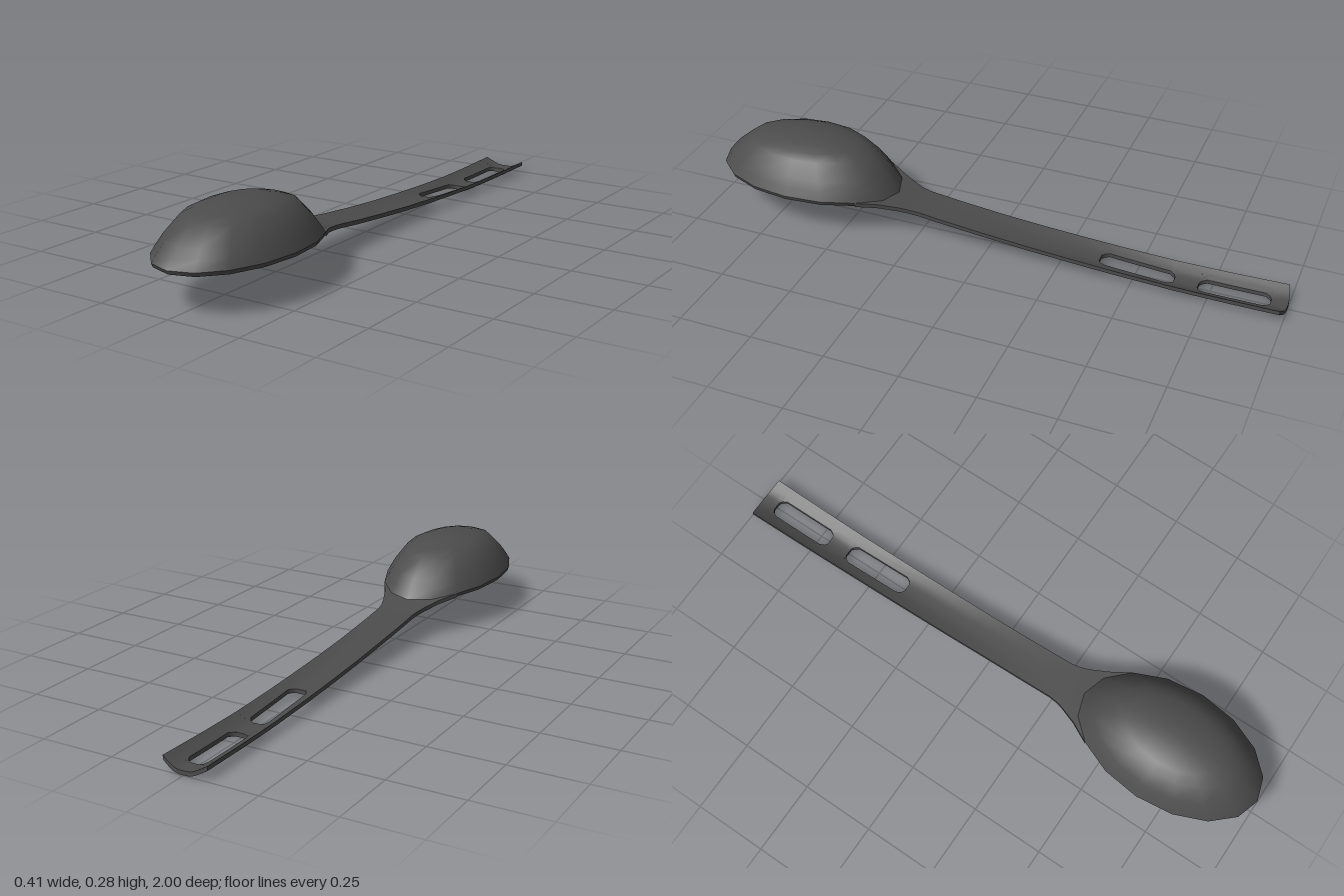
import * as THREE from 'three';
import { toCreasedNormals } from 'three/addons/utils/BufferGeometryUtils.js';

// linear lookup in a short [position, value] table
function lookup(table, t) {
  if (t <= table[0][0]) return table[0][1];
  for (let i = 1; i < table.length; i++) {
    const [a, va] = table[i - 1], [b, vb] = table[i];
    if (t <= b) return va + (vb - va) * (t - a) / (b - a);
  }
  return table[table.length - 1][1];
}

function pushQuad(out, a, b, c, d) {
  out.push(...a, ...b, ...c, ...a, ...c, ...d);
}

function toGeometry(positions, crease) {
  const g = new THREE.BufferGeometry();
  g.setAttribute('position', new THREE.Float32BufferAttribute(positions, 3));
  return toCreasedNormals(g, crease);
}

// bowl ellipse seen from above
const CZ = 0.67, RX = 0.204, RZ = 0.327, SEG = 16;
const ringPoint = (k) => {
  const a = k / SEG * Math.PI * 2;
  return [Math.sin(a) * RX, CZ + Math.cos(a) * RZ];
};

// centre line height, trough depth and half width along z
const HEIGHT = [[-1, 0.019], [-0.8, 0.017], [-0.64, 0.018], [-0.45, 0.031], [-0.3, 0.044], [-0.15, 0.057],
  [0, 0.073], [0.15, 0.09], [0.28, 0.107], [0.345, 0.12], [0.37, 0.126], [0.44, 0.138], [0.55, 0.144], [0.7, 0.147], [1, 0.146]];
const DEPTH = [[-1, 0.026], [-0.64, 0.024], [-0.3, 0.012], [0, 0.004], [0.25, 0]];
const neckTip = ringPoint(6);
const WIDTH = [[-1, 0.076], [-0.6, 0.071], [0, 0.067], [0.25, 0.068], [0.28, 0.072], [0.31, 0.081], [0.37, 0.106], [neckTip[1], neckTip[0]]];
const THICK = 0.014;

// rows of the handle: [z, inner half width]; the inner edge opens for slots and bowl
function handleRows() {
  const rows = [[-1, 0], [-0.97, 0]];
  for (const [a, b] of [[-0.945, -0.71], [-0.63, -0.38]]) {
    const end = [[0, 0], [0, 0.014], [0.007, 0.025], [0.022, 0.033]];
    end.forEach(([d, x]) => rows.push([a + d, x]));
    for (let i = 1; i < 4; i++) rows.push([a + (b - a) * i / 4, 0.033]);
    end.reverse().forEach(([d, x]) => rows.push([b - d, x]));
  }
  for (let z = -0.3; z < 0.22; z += 0.075) rows.push([z, 0]);
  for (const z of [0.25, 0.28, 0.31]) rows.push([z, 0]);
  const p7 = ringPoint(7);
  rows.push([CZ - RZ, 0], [p7[1], p7[0]], [(p7[1] + neckTip[1]) / 2, (p7[0] + neckTip[0]) / 2], [neckTip[1], neckTip[0]]);
  return rows;
}

// curved slab handle, each half swept from the same rows
function handleGeometry() {
  const rows = handleRows(), COLS = 5, out = [];
  for (const side of [1, -1]) {
    const at = (i, j, drop) => {
      const [z, inner] = rows[i];
      const w = lookup(WIDTH, z);
      const x = inner + (w - inner) * j / COLS;
      const u = x / w;
      const rise = lookup(DEPTH, z) * Math.pow(Math.max(0, (u - 0.28) / 0.72), 1.3);
      const endCurve = i === 0 ? 0.012 * u * u : 0;
      return [side * x, lookup(HEIGHT, z) + rise - drop, z + endCurve];
    };
    const top = (i, j) => at(i, j, 0), low = (i, j) => at(i, j, THICK);
    const quad = (a, b, c, d) => side > 0 ? pushQuad(out, a, b, c, d) : pushQuad(out, d, c, b, a);
    for (let i = 0; i < rows.length - 1; i++) {
      const n = i + 1;
      if (rows[n][0] > rows[i][0]) {
        for (let j = 0; j < COLS; j++) {
          quad(top(i, j), top(n, j), top(n, j + 1), top(i, j + 1));
          quad(low(i, j), low(i, j + 1), low(n, j + 1), low(n, j));
        }
        quad(low(i, COLS), top(i, COLS), top(n, COLS), low(n, COLS));
      }
      // slot walls and the edge around the bowl
      if (rows[i][1] + rows[n][1] > 0) quad(low(n, 0), top(n, 0), top(i, 0), low(i, 0));
    }
    for (let j = 0; j < COLS; j++) quad(low(0, j), top(0, j), top(0, j + 1), low(0, j + 1));
  }
  return toGeometry(out, 0.6);
}

// open shell: inner surface, rolled rim, then outer dome
function bowlGeometry() {
  const dome = [[1, 0], [0.93, 0.2], [0.85, 0.4], [0.67, 0.75], [0.52, 0.86], [0.35, 0.945], [0.17, 0.985], [0, 1]];
  const profile = [
    ...dome.map(([s, p]) => [s * 0.96, p, 0.012]).reverse(),
    [0.98, 0, 0.013],
    ...dome.map(([s, p]) => [s, p, 0]),
  ];
  const at = (r, k) => {
    const [s, p, drop] = profile[r];
    const [x, z] = ringPoint(k % SEG);
    const rim = lookup(HEIGHT, z);
    return [x * s, rim + (0.286 - rim) * p - drop, CZ + (z - CZ) * s];
  };
  const out = [];
  for (let r = 0; r < profile.length - 1; r++) {
    for (let k = 0; k < SEG; k++) {
      const a = at(r, k), b = at(r, k + 1), c = at(r + 1, k + 1), d = at(r + 1, k);
      if (profile[r][0] === 0) out.push(...a, ...c, ...d);
      else if (profile[r + 1][0] === 0) out.push(...a, ...b, ...c);
      else pushQuad(out, a, b, c, d);
    }
  }
  return toGeometry(out, 0.7);
}

export function createModel() {
  const plastic = new THREE.MeshStandardMaterial({ color: 0x4c4c4c });
  plastic.name = 'dark grey plastic';
  const model = new THREE.Group();
  model.name = 'spoon';
  for (const [name, geometry] of [['bowl', bowlGeometry()], ['handle', handleGeometry()]]) {
    const mesh = new THREE.Mesh(geometry, plastic);
    mesh.name = name;
    model.add(mesh);
  }
  return model;
}
